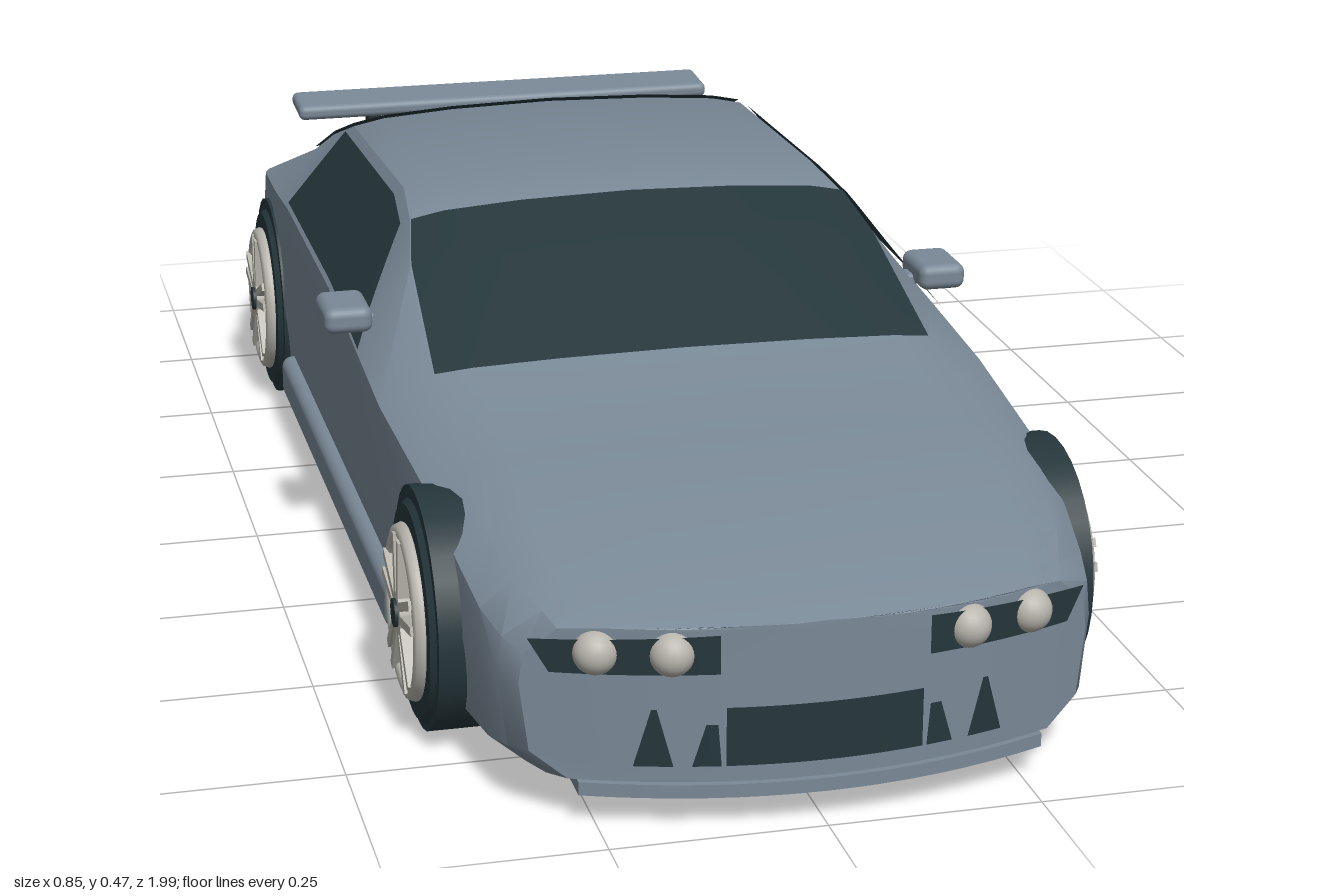
import * as THREE from 'three';
import { toCreasedNormals } from 'three/addons/utils/BufferGeometryUtils.js';
import { RoundedBoxGeometry } from 'three/addons/geometries/RoundedBoxGeometry.js';

const mat = (name, color, side = THREE.FrontSide) => {
  const m = new THREE.MeshStandardMaterial({ color, side });
  m.name = name;
  return m;
};

// Body stations: z, half width, shoulder x, shoulder y, top edge x, top edge y, centre top y
const STATIONS = [
  [0.985, 0.33, 0.325, 0.205, 0.29, 0.238, 0.245],
  [0.95, 0.347, 0.342, 0.213, 0.3, 0.247, 0.258],
  [0.88, 0.358, 0.355, 0.225, 0.32, 0.26, 0.277],
  [0.78, 0.37, 0.365, 0.25, 0.33, 0.28, 0.302],
  [0.62, 0.385, 0.375, 0.285, 0.33, 0.312, 0.33],
  [0.36, 0.39, 0.388, 0.305, 0.32, 0.337, 0.347],
  [0.15, 0.39, 0.388, 0.322, 0.31, 0.415, 0.437],
  [0.06, 0.39, 0.387, 0.327, 0.293, 0.45, 0.47],
  [-0.05, 0.39, 0.386, 0.33, 0.282, 0.463, 0.479],
  [-0.43, 0.39, 0.386, 0.33, 0.287, 0.448, 0.468],
  [-0.55, 0.395, 0.388, 0.325, 0.298, 0.405, 0.425],
  [-0.67, 0.395, 0.385, 0.32, 0.31, 0.35, 0.365],
  [-0.75, 0.388, 0.372, 0.308, 0.31, 0.322, 0.338],
  [-0.86, 0.37, 0.35, 0.29, 0.29, 0.308, 0.318],
  [-0.97, 0.34, 0.31, 0.262, 0.26, 0.287, 0.298],
];

// Plan curvature of nose and tail
function bow(z, x) {
  const front = 0.09 * Math.max(0, (z - 0.4) / 0.58) ** 2;
  const rear = 0.1 * Math.max(0, (-z - 0.7) / 0.27);
  return z + (rear - front) * (x / 0.355) ** 2;
}

function station(z) {
  let i = 0;
  while (i < STATIONS.length - 2 && z < STATIONS[i + 1][0]) i++;
  const a = STATIONS[i], b = STATIONS[i + 1], t = (z - a[0]) / (b[0] - a[0]);
  return a.map((v, k) => v + (b[k] - v) * t);
}

// Half section, running from the bottom centre (0) round to the top centre (8)
function section([z, w, ws, ys, wr, yr, yt]) {
  const yb = 0.04 + 0.2 * Math.max(0, Math.abs(z) - 0.89), c = yt - yr;
  return [[0, yb], [w - 0.05, yb], [w - 0.01, yb + 0.03], [w, 0.17], [ws, ys],
    [wr, yr], [wr * 0.85, yr + c * 0.45], [wr * 0.5, yr + c * 0.82], [0, yt]];
}

function surface(z, u, side) {
  const pts = section(station(z)), i = Math.min(7, Math.floor(u)), t = u - i;
  const x = side * (pts[i][0] + (pts[i + 1][0] - pts[i][0]) * t);
  return [x, pts[i][1] + (pts[i + 1][1] - pts[i][1]) * t, bow(z, x)];
}

// Grid surface; fn takes u and v in 0..1
function grid(fn, nu, nv) {
  const pos = [], idx = [];
  for (let i = 0; i <= nu; i++) for (let j = 0; j <= nv; j++) pos.push(...fn(i / nu, j / nv));
  for (let i = 0; i < nu; i++) for (let j = 0; j < nv; j++) {
    const a = i * (nv + 1) + j, b = a + nv + 1;
    idx.push(a, b, a + 1, b, b + 1, a + 1);
  }
  const g = new THREE.BufferGeometry();
  g.setAttribute('position', new THREE.Float32BufferAttribute(pos, 3));
  g.setIndex(idx);
  return toCreasedNormals(g, 0.6);
}

const lathe = (profile, segments) =>
  new THREE.LatheGeometry(profile.map(([x, y]) => new THREE.Vector2(x, y)), segments);

export function createModel() {
  const car = new THREE.Group();
  car.name = 'car';
  const paint = mat('body paint', 0x7a8997, THREE.DoubleSide);
  const dark = mat('dark glass and rubber', 0x25363b, THREE.DoubleSide);
  const metal = mat('pale metal', 0xb8b5ad);
  const red = mat('tail light red', 0xb3281e);
  const add = (name, geo, m, x = 0, y = 0, z = 0, parent = car) => {
    const mesh = new THREE.Mesh(geo, m);
    mesh.name = name;
    mesh.position.set(x, y, z);
    parent.add(mesh);
    return mesh;
  };
  const box = (w, h, d, r) => new RoundedBoxGeometry(w, h, d, 3, r);

  // Body shell with curved end caps
  const n = STATIONS.length - 1;
  add('bodyShell', grid((u, v) => {
    const t = Math.round(v * 16);
    return surface(STATIONS[Math.round(u * n)][0], t <= 8 ? t : 16 - t, t <= 8 ? 1 : -1);
  }, n, 16), paint);
  for (const [name, z, dir] of [['nosePanel', 0.985, 1], ['tailPanel', -0.97, -1]]) {
    const pts = section(station(z));
    add(name, grid((u, v) => {
      const [w, y] = pts[1 + Math.round(v * 7)], x = dir * w * (2 * u - 1);
      return [x, y, bow(z, x)];
    }, 16, 7), paint);
  }

  // Glass
  const screen = (z0, z1) => grid((u, v) => {
    const s = 1 - 2 * v;
    const [x, y, z] = surface(z0 + (z1 - z0) * u, 8 - Math.abs(s) * 2.97, Math.sign(s));
    return [x, y + 0.005, z];
  }, 20, 24);
  add('windscreen', screen(0.36, 0.065), dark);
  add('rearWindow', screen(-0.435, -0.67), dark);
  for (const s of [1, -1]) {
    add('sideWindow', grid((u, v) => {
      const k = s > 0 ? v : 1 - v, front = 0.2 - 0.15 * k;
      const [x, y, z] = surface(front + (-0.43 - front) * u, 4.06 + 0.85 * k, s);
      return [x * 1.013, y + 0.004, z];
    }, 24, 8), dark);
  }

  // Plate bent to the nose, from corners: inner lower, outer lower, inner upper, outer upper
  const nosePlate = (name, [x0, y0, x1, y1, x2, y2, x3, y3]) => add(name, grid((u, v) => {
    const mix = (a, b, c, d) => (a + (b - a) * u) * (1 - v) + (c + (d - c) * u) * v;
    const x = mix(x0, x1, x2, x3);
    return [x, mix(y0, y1, y2, y3), bow(0.985, x) + 0.005];
  }, 12, 4), dark);
  nosePlate('grille', [-0.113, 0.08, 0.113, 0.08, -0.113, 0.15, 0.113, 0.15]);

  // Splitter lip under the nose
  const lip = new THREE.Shape();
  lip.moveTo(-0.27, -0.88);
  for (let i = 0; i <= 16; i++) {
    const x = -0.27 + 0.54 * i / 16;
    lip.lineTo(x, -bow(0.985, x) - 0.006);
  }
  lip.lineTo(0.27, -0.88);
  add('splitter', new THREE.ExtrudeGeometry(lip, { depth: 0.016, bevelEnabled: false })
    .rotateX(-Math.PI / 2), paint, 0, 0.042, 0);

  for (const s of [1, -1]) {
    // Headlights and small intakes
    nosePlate('headlightPanel', [s * 0.12, 0.19, s * 0.3, 0.188, s * 0.12, 0.236, s * 0.322, 0.226]);
    for (const x of [0.17, 0.25]) {
      add('headlamp', new THREE.SphereGeometry(0.026, 20, 14), metal, s * x, 0.212, bow(0.985, x) - 0.004);
    }
    nosePlate('outerIntake', [s * 0.17, 0.08, s * 0.213, 0.08, s * 0.188, 0.148, s * 0.194, 0.148]);
    nosePlate('innerIntake', [s * 0.118, 0.08, s * 0.15, 0.08, s * 0.122, 0.13, s * 0.135, 0.13]);

    // Sill and door mirror
    add('sill', box(0.04, 0.06, 0.9, 0.015), paint, s * 0.382, 0.078, 0.01);
    add('doorMirror', box(0.062, 0.034, 0.09, 0.012), paint, s * 0.396, 0.36, 0.145);
    add('mirrorStalk', box(0.05, 0.014, 0.03, 0.005), paint, s * 0.36, 0.35, 0.14);

    // Tail lights, exhaust, spoiler post and rear bumper corner
    [0.093, 0.14, 0.19].forEach((x, i) => add('tailLight',
      new THREE.SphereGeometry(0.022 + i * 0.002, 18, 12), red, s * x, 0.258 + i * 0.005, bow(-0.97, x)));
    add('exhaust', lathe([[0.026, -0.05], [0.03, 0.05], [0.022, 0.05], [0.019, -0.05]], 20)
      .rotateX(-Math.PI / 2), metal, s * 0.232, 0.085, -0.95);
    add('exhaustBore', new THREE.CircleGeometry(0.021, 20), dark, s * 0.232, 0.085, -0.97);
    add('spoilerPost', box(0.02, 0.07, 0.035, 0.004), dark, s * 0.2, 0.35, -0.79);
    add('rearBumperCorner', new THREE.SphereGeometry(1, 24, 14).scale(0.045, 0.055, 0.11),
      paint, s * 0.335, 0.13, -0.83).rotation.y = s * 0.35;

    // Wheels
    for (const z of [0.625, -0.6]) {
      const wheel = new THREE.Group();
      wheel.name = 'wheel';
      wheel.position.set(s * 0.35, 0.145, z);
      wheel.rotation.y = s > 0 ? 0 : Math.PI;
      car.add(wheel);
      const disc = (name, r, w, m, x) => add(name,
        new THREE.CylinderGeometry(r, r, w, 32).rotateZ(Math.PI / 2), m, x, 0, 0, wheel);
      const tread = [[0.02, -0.05], [0.125, -0.05], [0.14, -0.035], [0.14, 0.035], [0.127, 0.05], [0.02, 0.05]];
      add('tyre', toCreasedNormals(lathe(tread, 32).rotateZ(-Math.PI / 2), 0.5), dark, 0, 0, 0, wheel);
      disc('wheelArch', 0.145, 0.08, dark, 0.003).position.y = 0.004;
      disc('brakeDisc', 0.05, 0.006, metal, 0.05);
      add('rimRing', new THREE.TorusGeometry(0.095, 0.011, 8, 36).rotateY(Math.PI / 2), metal, 0.053, 0, 0, wheel);
      for (let i = 0; i < 5; i++) {
        const spoke = new THREE.Group();
        spoke.name = 'spoke';
        spoke.rotation.x = i * Math.PI * 2 / 5;
        wheel.add(spoke);
        for (const d of [-1, 1]) {
          add('spokeBar', new THREE.BoxGeometry(0.014, 0.08, 0.011), metal, 0.06, 0.055, d * 0.011, spoke)
            .rotation.x = d * 0.1;
        }
      }
      disc('hub', 0.026, 0.014, metal, 0.06);
      disc('hubCap', 0.017, 0.006, dark, 0.068);
    }
  }

  // Rear wing, number plate and diffuser
  add('rearWing', box(0.64, 0.022, 0.085, 0.009), paint, 0, 0.387, -0.79).rotation.x = 0.06;
  add('numberPlate', new THREE.BoxGeometry(0.2, 0.055, 0.008), metal, 0, 0.18, -0.974);
  add('diffuser', new THREE.BoxGeometry(0.42, 0.04, 0.06), dark, 0, 0.07, -0.95);
  for (const x of [-0.2, -0.07, 0.07, 0.2]) {
    add('diffuserFin', new THREE.BoxGeometry(0.008, 0.06, 0.06), dark, x, 0.08, -0.965);
  }
  return car;
}
